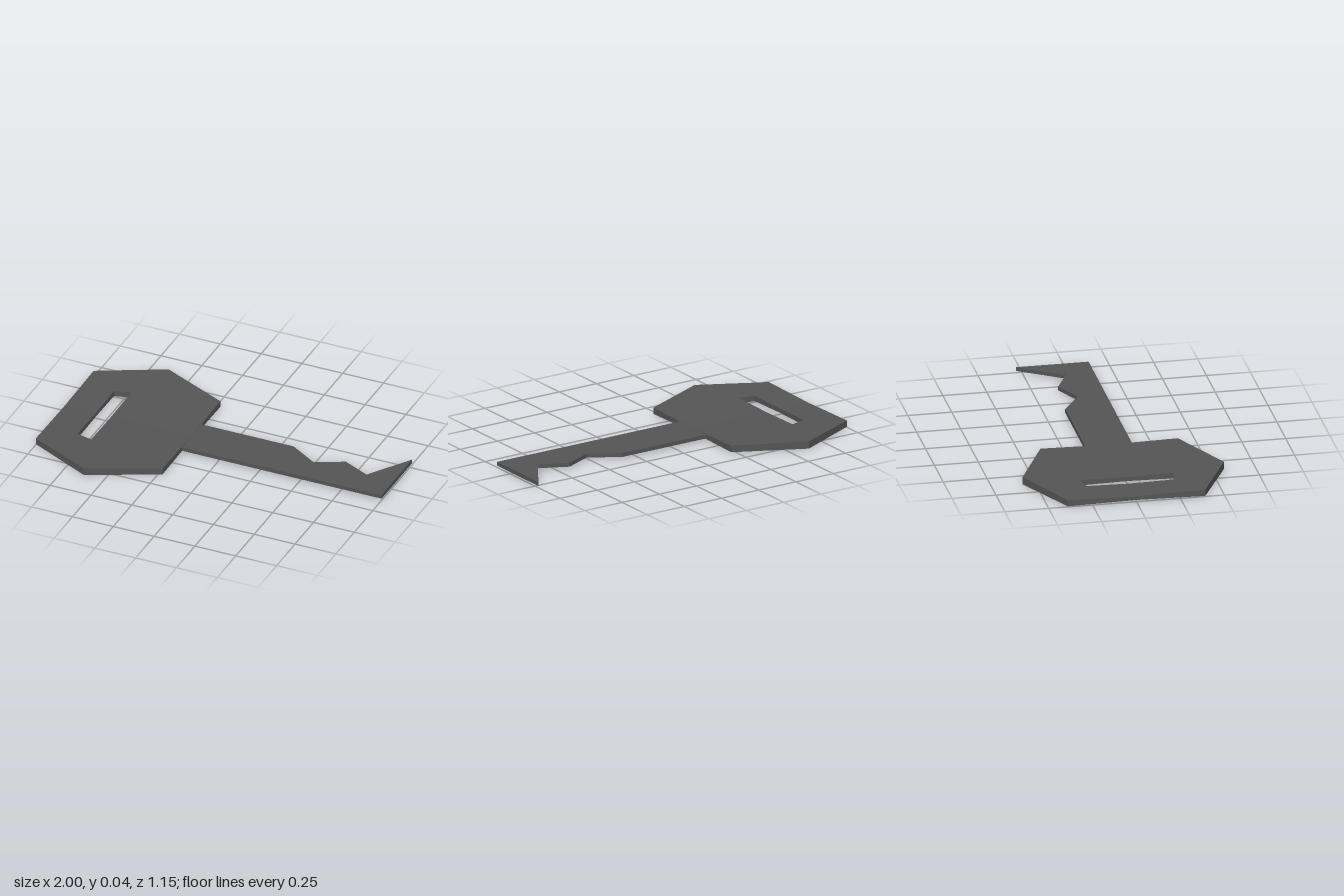
import * as THREE from 'three';

const MID = 0.022; // height of the key's middle plane
const THIN = 0.0115; // half thickness on the centre line

// Extrudes an (x, z) outline lying flat; half thickness follows halfAt(z)
function flatPlate(points, halfAt) {
  const shape = new THREE.Shape(points.map(([x, z]) => new THREE.Vector2(x, z)));
  const geo = new THREE.ExtrudeGeometry(shape, { depth: 2, bevelEnabled: false });
  geo.rotateX(Math.PI / 2).translate(0, 1, 0);
  const p = geo.attributes.position;
  for (let i = 0; i < p.count; i++) p.setY(i, MID + p.getY(i) * halfAt(Math.abs(p.getZ(i))));
  geo.clearGroups();
  geo.computeVertexNormals();
  return geo;
}

// Removes the hidden walls where the two halves of the head meet
function dropSeam(geo) {
  const p = geo.attributes.position;
  const kept = [];
  for (let i = 0; i < p.count; i += 3) {
    const onSeam = [0, 1, 2].every((k) => Math.abs(p.getZ(i + k)) < 1e-6);
    if (!onSeam) kept.push(i, i + 1, i + 2);
  }
  geo.setIndex(kept);
  return geo;
}

export function createModel() {
  const key = new THREE.Group();
  key.name = 'key';
  const metal = new THREE.MeshStandardMaterial({ color: 0x555555, flatShading: true });

  // Hexagonal head: two mirrored halves around the slot, thicker toward the points
  const halfOutline = [
    [-1, 0], [-0.81, 0], [-0.81, 0.247], [-0.716, 0.27], [-0.716, 0],
    [-0.224, 0], [-0.224, 0.391], [-0.623, 0.573], [-1, 0.391],
  ];
  const head = new THREE.Group();
  head.name = 'head';
  for (const side of [1, -1]) {
    const outline = halfOutline.map(([x, z]) => [x, z * side]);
    const half = new THREE.Mesh(dropSeam(flatPlate(outline, (z) => THIN + 0.0183 * z)), metal);
    half.name = side > 0 ? 'headFrontHalf' : 'headBackHalf';
    head.add(half);
  }
  key.add(head);

  // Blade with notched teeth along the back edge
  const blade = new THREE.Mesh(flatPlate([
    [-0.224, 0.13], [1, 0.13], [1, -0.283], [0.834, -0.033], [0.673, -0.109],
    [0.507, -0.032], [0.341, -0.136], [-0.224, -0.136],
  ], () => THIN), metal);
  blade.name = 'blade';
  key.add(blade);

  return key;
}
